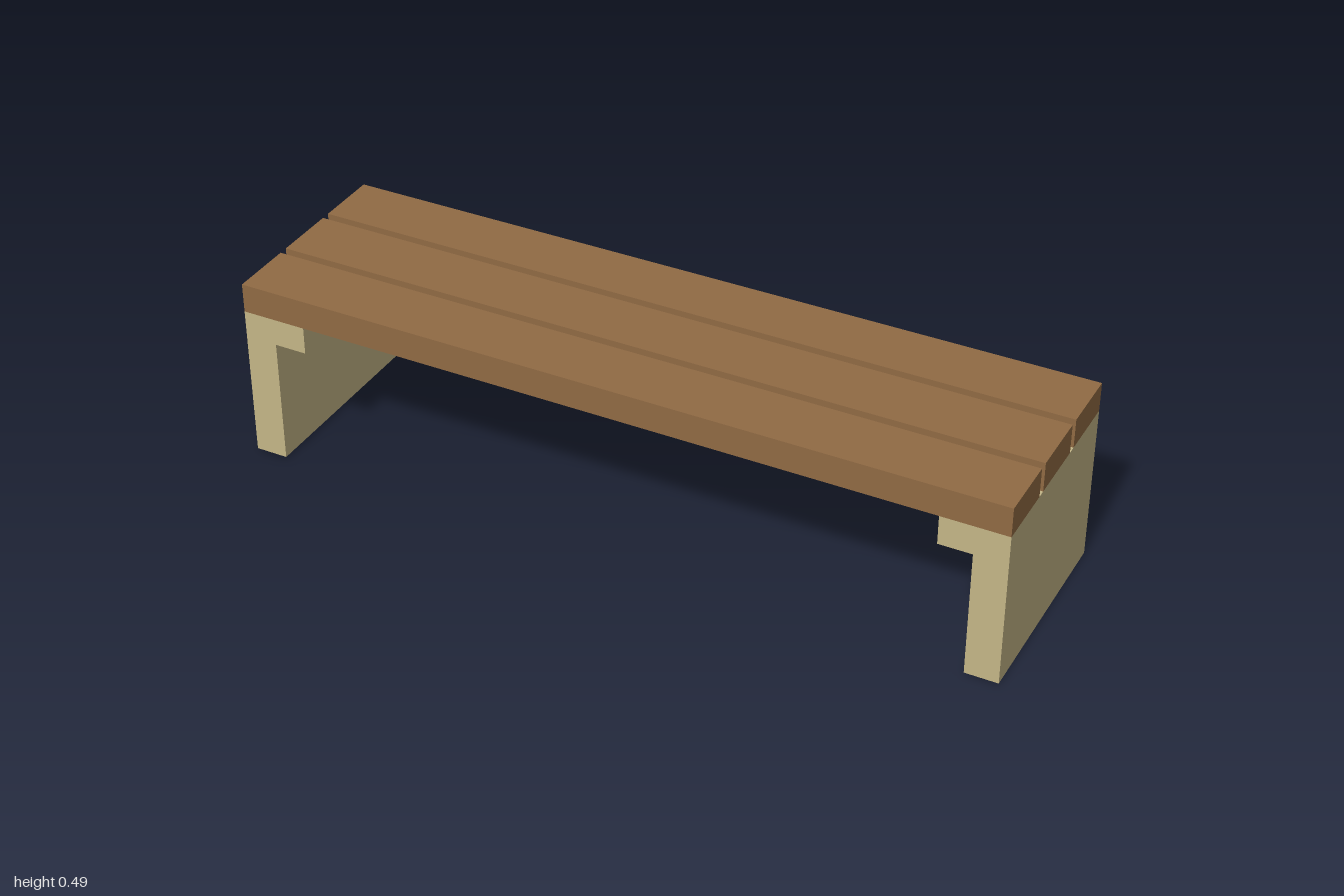
import * as THREE from 'three';

const wood = new THREE.MeshStandardMaterial({ color: 0x916b44, flatShading: true });
const stone = new THREE.MeshStandardMaterial({ color: 0xc4b687, flatShading: true });

const DEPTH = 0.55;      // front to back
const SEAT_BOTTOM = 0.411;
const SEAT_TOP = 0.488;

// L-shaped end support with a ledge under the seat; side is +1 or -1
function createSupport(side, bottom) {
  const points = [[1, bottom], [1, SEAT_BOTTOM], [0.83, SEAT_BOTTOM],
    [0.83, bottom + 0.335], [0.915, bottom + 0.335], [0.915, bottom]];
  const shape = new THREE.Shape(points.map(([x, y]) => new THREE.Vector2(side * x, y)));
  const geometry = new THREE.ExtrudeGeometry(shape, { depth: DEPTH, bevelEnabled: false });
  geometry.translate(0, 0, -DEPTH / 2);
  return new THREE.Mesh(geometry, stone);
}

export function createModel() {
  const bench = new THREE.Group();
  bench.name = 'bench';

  // Three seat planks with narrow gaps between them
  const height = SEAT_TOP - SEAT_BOTTOM;
  const plankGeometry = new THREE.BoxGeometry(2, height, 0.168);
  ['backPlank', 'middlePlank', 'frontPlank'].forEach((name, i) => {
    const plank = new THREE.Mesh(plankGeometry, wood);
    plank.name = name;
    plank.position.set(0, SEAT_BOTTOM + height / 2, (i - 1) * 0.191);
    bench.add(plank);
  });

  // End supports, the right one standing a hair higher
  const left = createSupport(1, 0);
  left.name = 'leftSupport';
  const right = createSupport(-1, 0.004);
  right.name = 'rightSupport';
  bench.add(left, right);

  return bench;
}
